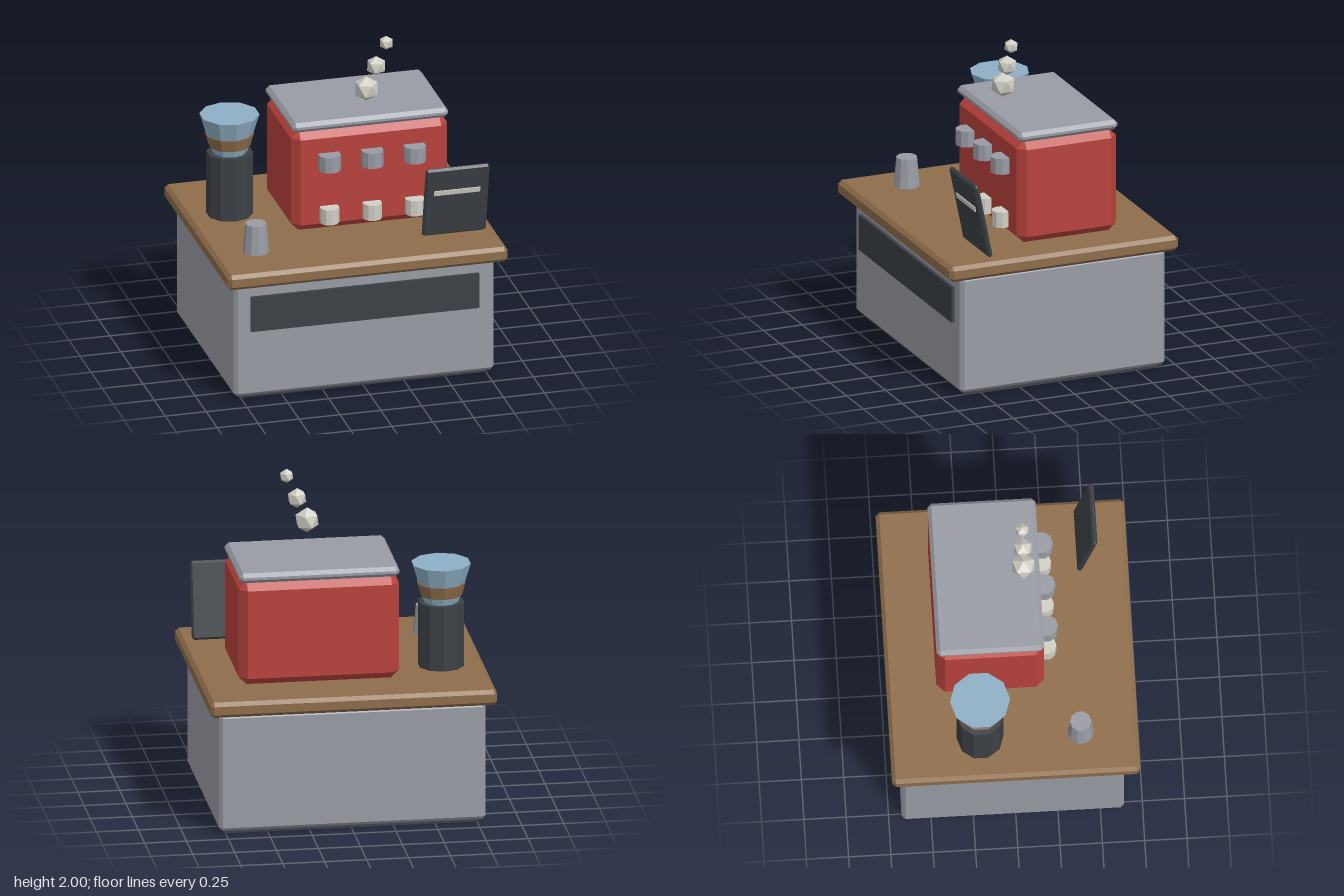
import * as THREE from 'three';
import { ConvexGeometry } from 'three/addons/geometries/ConvexGeometry.js';

const material = (name, color, flatShading = true) => {
  const m = new THREE.MeshStandardMaterial({ color, flatShading });
  m.name = name;
  return m;
};

// Box centred on the origin with all edges chamfered by b
function chamferBox(w, h, d, b) {
  const half = [w / 2, h / 2, d / 2];
  const points = [];
  for (let axis = 0; axis < 3; axis++)
    for (const sx of [-1, 1]) for (const sy of [-1, 1]) for (const sz of [-1, 1]) {
      const s = [sx, sy, sz];
      points.push(new THREE.Vector3(...half.map((v, i) => s[i] * (i === axis ? v : v - b))));
    }
  return new ConvexGeometry(points);
}

export function createModel() {
  const model = new THREE.Group();
  model.name = 'coffeeStation';

  const steel = material('steel', 0x999ca5);
  const wood = material('wood', 0x8e6d4b);
  const red = material('redEnamel', 0xb9423c);
  const dark = material('darkPlastic', 0x3c4146);
  const glass = material('blueGlass', 0x8fafc5);
  const cream = material('cream', 0xcfcfc5);

  function add(name, geometry, mat, x, y, z, parent = model) {
    const mesh = new THREE.Mesh(geometry, mat);
    mesh.name = name;
    mesh.position.set(x, y, z);
    parent.add(mesh);
    return mesh;
  }
  // Ten-sided upright drum between two heights
  const drum = (name, rTop, rBottom, y0, y1, mat, x, z) =>
    add(name, new THREE.CylinderGeometry(rTop, rBottom, y1 - y0, 10), mat, x, (y0 + y1) / 2, z);

  // Counter
  add('plinth', new THREE.BoxGeometry(1.52, 0.06, 1.24), dark, -0.003, 0.03, -0.017);
  add('cabinet', chamferBox(1.59, 0.725, 1.315, 0.022), steel, -0.003, 0.3825, -0.017);
  add('countertop', chamferBox(1.71, 0.095, 1.468, 0.022), wood, -0.003, 0.7925, 0);
  add('frontPanel', new THREE.BoxGeometry(1.395, 0.22, 0.03), dark, -0.003, 0.55, 0.646);

  // Espresso machine
  add('machineBody', chamferBox(0.955, 0.64, 0.637, 0.048), red, 0.158, 1.157, -0.121);
  add('machineLid', chamferBox(0.955, 0.06, 0.637, 0.022), steel, 0.158, 1.505, -0.121);
  for (const x of [-0.103, 0.158, 0.418]) {
    drum('brewHead', 0.067, 0.067, 1.237, 1.335, steel, x, 0.222);
    drum('cup', 0.058, 0.058, 0.9, 0.997, cream, x, 0.222);
  }

  // Grinder with hopper and beans
  drum('grinderBody', 0.138, 0.138, 0.835, 1.237, dark, -0.6, -0.2);
  drum('hopper', 0.178, 0.104, 1.237, 1.476, glass, -0.6, -0.2);
  drum('beans', 0.146, 0.125, 1.28, 1.357, wood, -0.6, -0.2);

  // Tamper
  drum('tamper', 0.063, 0.079, 0.835, 1.02, steel, -0.6, 0.395);

  // Tilted order screen
  const screen = new THREE.Group();
  screen.name = 'orderScreen';
  screen.position.set(0.595, 1.078, 0.493);
  screen.rotation.x = 0.2;
  model.add(screen);
  add('screenPanel', chamferBox(0.39, 0.47, 0.032, 0.013), dark, 0, 0, 0, screen);
  add('screenStripe', new THREE.BoxGeometry(0.282, 0.032, 0.008), cream, 0, 0.07, 0.018, screen);

  // Steam puffs, each standing on a corner
  for (const [x, y, r] of [[0.155, 1.678, 0.077], [0.215, 1.817, 0.061], [0.277, 1.957, 0.044]]) {
    const puff = new THREE.IcosahedronGeometry(r).rotateZ(-Math.atan(2 / (1 + Math.sqrt(5))));
    add('steamPuff', puff, cream, x, y, 0.1);
  }

  return model;
}
